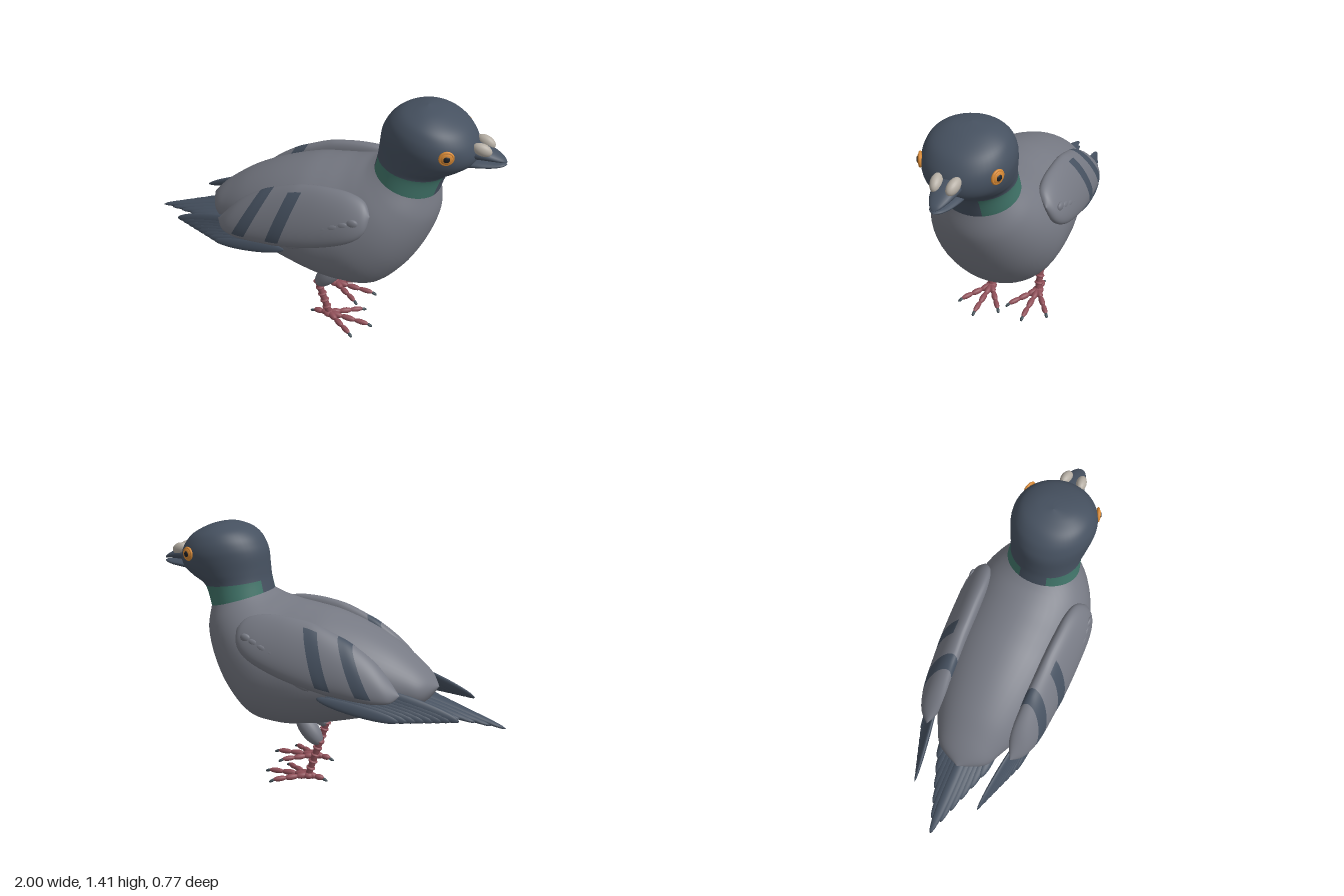
import * as THREE from 'three';

const mat = (name, color) => Object.assign(new THREE.MeshStandardMaterial({ color }), { name });
const V = (x, y, z) => new THREE.Vector3(x, y, z);

export function createModel() {
  const grey = mat('grey plumage', 0x767983);
  const slate = mat('slate plumage', 0x465160);
  const green = mat('green collar', 0x41756a);
  const pink = mat('leg pink', 0x8f4f58);
  const orange = mat('eye orange', 0xd98a35);
  const black = mat('pupil black', 0x1c2026);
  const cream = mat('cere cream', 0xb5aea4);
  const claw = mat('claw grey', 0x3c4a52);

  const model = new THREE.Group();
  model.name = 'bird';

  function add(parent, name, geo, material) {
    const mesh = new THREE.Mesh(geo, material);
    mesh.name = name;
    parent.add(mesh);
    return mesh;
  }
  function group(parent, name) {
    const g = new THREE.Group();
    g.name = name;
    parent.add(g);
    return g;
  }

  // Smooth skin over elliptical rings: [topX, topY, bottomX, bottomY, halfWidth, topZ, bottomZ].
  // pick(span, angle) gives the material index of a face.
  function loft(rings, pick = () => 0, steps = 6, sides = 48) {
    const pos = [], faces = [[], []], last = rings.length - 1;
    for (let i = 0; i <= last * steps; i++) {
      const k = Math.min(Math.floor(i / steps), last - 1), t = i / steps - k;
      const [a, b, c, d] = [k - 1, k, k + 1, k + 2].map(n => rings[Math.max(0, Math.min(last, n))]);
      const r = [0, 1, 2, 3, 4, 5, 6].map(n => {
        const [p, q, u, v] = [a, b, c, d].map(e => e[n] || 0);
        return 0.5 * (2 * q + (u - p) * t + (2 * p - 5 * q + 4 * u - v) * t * t + (3 * q - 3 * u + v - p) * t ** 3);
      });
      for (let j = 0; j < sides; j++) {
        const th = j / sides * Math.PI * 2, co = Math.cos(th) / 2;
        pos.push((r[0] + r[2]) / 2 + co * (r[0] - r[2]), (r[1] + r[3]) / 2 + co * (r[1] - r[3]),
          (r[5] + r[6]) / 2 + co * (r[5] - r[6]) + Math.max(0, r[4]) * Math.sin(th));
        if (i === last * steps) continue;
        const n = (j + 1) % sides, p = i * sides + j, q = i * sides + n;
        faces[pick(k, (j + 0.5) / sides * Math.PI * 2)].push(p, q, p + sides, q, q + sides, p + sides);
      }
    }
    const geo = new THREE.BufferGeometry();
    geo.setAttribute('position', new THREE.Float32BufferAttribute(pos, 3));
    geo.setIndex(faces.flat());
    geo.addGroup(0, faces[0].length, 0);
    geo.addGroup(faces[0].length, faces[1].length, 1);
    geo.computeVertexNormals();
    return geo;
  }

  // Ellipsoid stretched from a to b, flattened along the normal
  const ball = new THREE.SphereGeometry(1, 20, 14);
  function feather(parent, name, a, b, width, thick, material, normal = V(0, 0, 1)) {
    const x = b.clone().sub(a), len = x.length();
    x.normalize();
    const y = normal.clone().cross(x).normalize(), z = x.clone().cross(y);
    const geo = ball.clone().scale(len / 2, width, thick);
    geo.applyMatrix4(new THREE.Matrix4().makeBasis(x, y, z).setPosition(a.clone().add(b).multiplyScalar(0.5)));
    return add(parent, name, geo, material);
  }

  // Body
  add(model, 'body', loft([
    [-0.635, 0.60, -0.635, 0.60, 0], [-0.58, 0.665, -0.56, 0.50, 0.13], [-0.5, 0.735, -0.45, 0.46, 0.19],
    [-0.38, 0.82, -0.3, 0.405, 0.25], [-0.22, 0.9, -0.1, 0.35, 0.305], [-0.05, 0.96, 0.1, 0.305, 0.345],
    [0.08, 0.985, 0.27, 0.295, 0.355], [0.18, 1.0, 0.42, 0.33, 0.355], [0.25, 1.015, 0.55, 0.47, 0.335],
    [0.29, 1.025, 0.64, 0.64, 0.3], [0.315, 1.035, 0.69, 0.81, 0.25], [0.335, 1.045, 0.68, 0.945, 0.2],
  ]), grey);

  // Neck and head, with a green patch on either side of the neck
  add(model, 'head', loft([
    [0.335, 1.045, 0.68, 0.945, 0.2], [0.348, 1.11, 0.72, 1.06, 0.193], [0.354, 1.17, 0.8, 1.115, 0.205],
    [0.362, 1.25, 0.85, 1.16, 0.218], [0.38, 1.3, 0.86, 1.22, 0.222], [0.41, 1.345, 0.835, 1.285, 0.208],
    [0.46, 1.383, 0.78, 1.345, 0.172], [0.53, 1.405, 0.68, 1.395, 0.1], [0.585, 1.415, 0.585, 1.415, 0],
  ], (k, th) => k === 0 && Math.abs(Math.sin(th)) > 0.4 ? 1 : 0), [slate, green]);

  // Beak
  const beak = group(model, 'beak');
  add(beak, 'upperBill', loft([
    [0.79, 1.265, 0.79, 1.17, 0.07], [0.87, 1.25, 0.87, 1.178, 0.065], [0.93, 1.228, 0.94, 1.18, 0.05],
    [0.98, 1.2, 0.985, 1.178, 0.025], [1.0, 1.178, 1.0, 1.178, 0],
  ], undefined, 6, 24), slate);
  add(beak, 'lowerBill', loft([
    [0.79, 1.18, 0.79, 1.12, 0.07], [0.86, 1.178, 0.86, 1.135, 0.067], [0.93, 1.175, 0.93, 1.143, 0.05],
    [0.98, 1.174, 0.98, 1.155, 0.028], [1.0, 1.165, 1.0, 1.165, 0],
  ], undefined, 6, 24), slate);

  // Tail fan, longest in the middle
  const tail = group(model, 'tail');
  for (let i = -5; i <= 5; i++) {
    const k = i / 5, m = Math.abs(k);
    feather(tail, 'tailFeather', V(-0.36, 0.6 - 0.06 * m, k * 0.13), V(-1 + 0.38 * m, 0.41 + 0.085 * m, k * 0.13),
      0.034, 0.02, slate, V(-0.3, 1, k * 0.4));
  }

  for (const s of [1, -1]) {
    const side = s > 0 ? 'left' : 'right';

    // Cere and eye
    feather(beak, side + 'Cere', V(0.83, 1.262, s * 0.05), V(0.925, 1.228, s * 0.035), 0.033, 0.028, cream);
    const eye = group(model, side + 'Eye');
    eye.position.set(0.74, 1.25, s * 0.194);
    eye.rotation.y = s > 0 ? 0.4 : Math.PI - 0.4;
    add(eye, 'iris', ball.clone().scale(0.034, 0.034, 0.014), orange);
    add(eye, 'eyelid', new THREE.TorusGeometry(0.032, 0.007, 10, 28), orange);
    add(eye, 'pupil', ball.clone().scale(0.017, 0.017, 0.008).translate(0, 0, 0.01), black);

    // Folded wing with two dark bars
    const wing = group(model, side + 'Wing');
    const rings = [
      [-0.49, 0.61, -0.49, 0.61, 0, 0.25, 0.25], [-0.36, 0.755, -0.45, 0.575, 0.05, 0.235, 0.28],
      [-0.23, 0.85, -0.38, 0.57, 0.062, 0.235, 0.31], [-0.15, 0.89, -0.3, 0.575, 0.066, 0.235, 0.325],
      [-0.04, 0.935, -0.165, 0.59, 0.07, 0.24, 0.335], [0.035, 0.955, -0.085, 0.605, 0.07, 0.24, 0.345],
      [0.15, 0.97, 0.12, 0.655, 0.07, 0.245, 0.35], [0.27, 0.97, 0.3, 0.73, 0.062, 0.25, 0.35],
      [0.36, 0.945, 0.385, 0.8, 0.042, 0.265, 0.33], [0.405, 0.89, 0.405, 0.89, 0, 0.3, 0.3],
    ].map(([a, b, c, d, w, zt, zb]) => [a, b, c, d, w, zt * s, zb * s]);
    const bars = (k, th) => k === 2 && Math.cos(th) > -0.8
      || k === 4 && Math.sin(th) * s > 0.55 && Math.cos(th) > -0.8 ? 1 : 0;
    add(wing, 'shoulder', loft(rings, bars), [grey, slate]);

    // Rows of small overlapping coverts
    for (let r = 0; r < 3; r++) for (let i = 0; i < 6; i++) {
      const x = 0.325 - 0.052 * i - 0.018 * r, y = 0.855 - 0.024 * i - 0.04 * r, h = 0.032 + 0.007 * i;
      const z = s * (0.348 + Math.min(0.014, 0.006 * i) - 0.002 * r);
      feather(wing, 'covert', V(x + h, y + h * 0.5, z), V(x - h, y - h * 0.55, z - s * 0.004),
        0.027, 0.016, grey, V(0, -0.1, s));
    }

    // Flight feathers, the innermost reaching furthest back
    for (let i = 0; i < 8; i++) {
      const t = i / 7;
      feather(wing, 'flightFeather', V(-0.06 - 0.3 * t, 0.565 + 0.06 * t, s * (0.325 - 0.075 * t)),
        V(-0.5 - 0.29 * t, 0.485 + 0.005 * t, s * (0.295 - 0.105 * t)), 0.034, 0.014, slate, V(0, 0.35, s));
    }

    // Leg, the left one a little ahead
    const leg = group(model, side + 'Leg');
    leg.position.set(s > 0 ? 0.13 : 0.065, 0, s * 0.135);
    feather(leg, 'thigh', V(0.06, 0.39, 0), V(-0.075, 0.222, 0), 0.052, 0.052, grey);
    const ankle = V(-0.07, 0.245, 0), heel = V(0, 0.03, 0);
    for (let i = 0; i < 5; i++) {
      const a = ankle.clone().lerp(heel, i / 5), b = ankle.clone().lerp(heel, (i + 1) / 5);
      const up = a.clone().sub(b).normalize();
      const shank = add(leg, 'shank', new THREE.CylinderGeometry(0.02, 0.018, a.distanceTo(b), 16), pink);
      shank.position.copy(a).add(b).multiplyScalar(0.5);
      shank.quaternion.setFromUnitVectors(V(0, 1, 0), up);
      const knuckle = add(leg, 'knuckle', ball.clone().scale(0.026, 0.011, 0.026), pink);
      knuckle.position.copy(a);
      knuckle.quaternion.copy(shank.quaternion);
    }
    add(leg, 'footPad', ball.clone().scale(0.034, 0.022, 0.032).translate(0, 0.026, 0), pink);

    // Toes: three forward, one back, each with a claw
    for (const [angle, len] of [[0, 0.235], [0.6, 0.195], [-0.6, 0.195], [Math.PI, 0.085]]) {
      const toe = group(leg, 'toe');
      toe.rotation.y = angle;
      const n = len > 0.1 ? 3 : 2;
      for (let i = 0; i < n; i++)
        feather(toe, 'toeJoint', V(len * i / n - 0.008, 0.028 - 0.003 * i, 0),
          V(len * (i + 1) / n + 0.008, 0.024 - 0.003 * i, 0), 0.019 - 0.002 * i, 0.019 - 0.002 * i, pink);
      feather(toe, 'claw', V(len - 0.005, 0.02, 0), V(len + 0.03, 0.006, 0), 0.008, 0.009, claw);
    }
  }
  return model;
}
